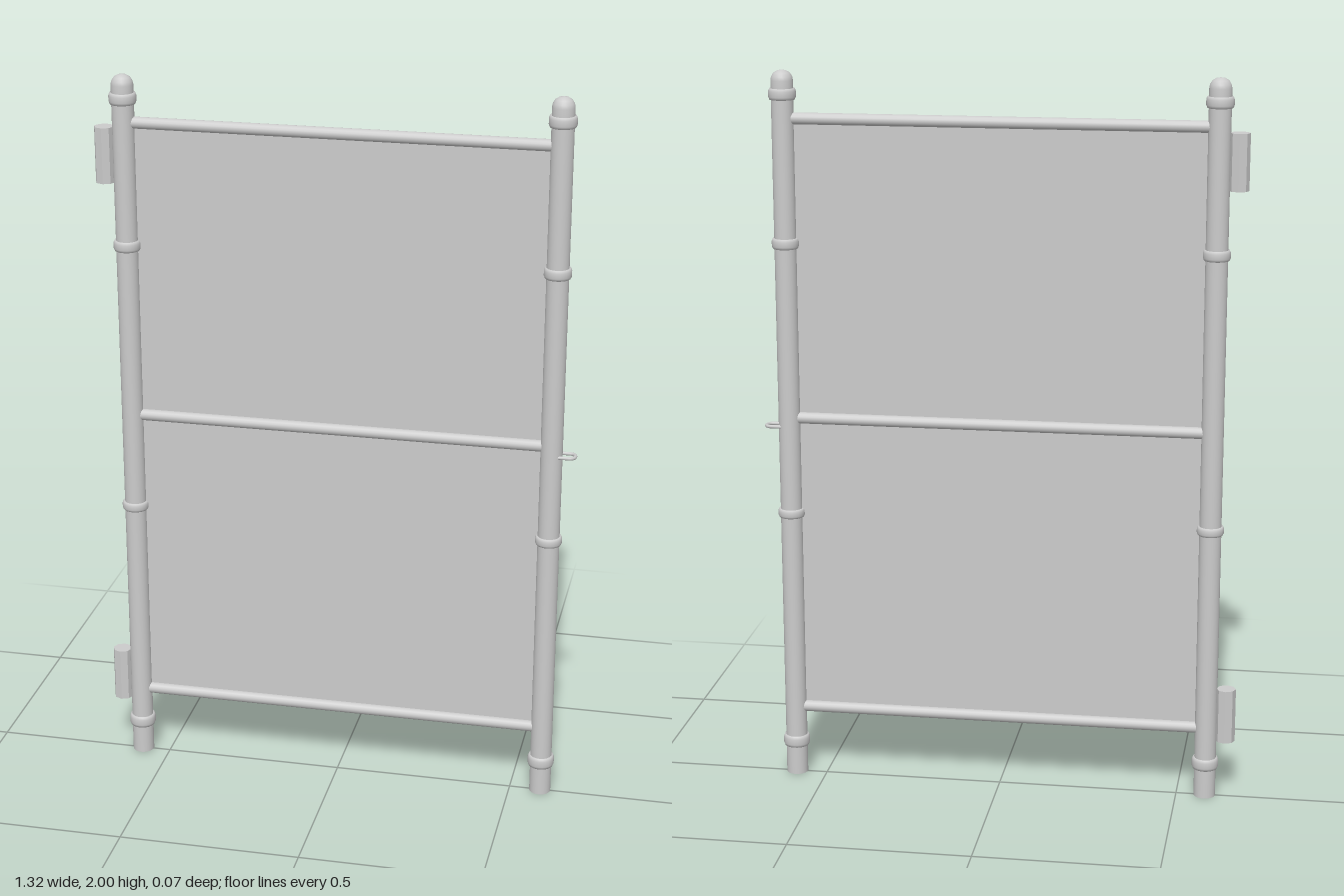
import * as THREE from 'three';

const POST_R = 0.03;
const LEFT_X = 0.586;
const RIGHT_X = -0.579;

export function createModel() {
  const group = new THREE.Group();
  const smooth = new THREE.MeshStandardMaterial({ color: 0xcccccc });
  const faceted = new THREE.MeshStandardMaterial({ color: 0xcccccc, flatShading: true });
  const sheet = new THREE.MeshStandardMaterial({ color: 0xcccccc, side: THREE.DoubleSide });

  const add = (name, geometry, material, x = 0, y = 0, z = 0, parent = group) => {
    const mesh = new THREE.Mesh(geometry, material);
    mesh.name = name;
    mesh.position.set(x, y, z);
    parent.add(mesh);
    return mesh;
  };

  // Rounded collar band around a post
  const collar = (height) => {
    const h = height / 2;
    const points = [[0.029, -h], [0.034, -h], [0.037, -h * 0.5], [0.037, h * 0.5], [0.034, h], [0.029, h]];
    return new THREE.LatheGeometry(points.map(([r, y]) => new THREE.Vector2(r, y)), 24);
  };

  // Posts with a domed cap and four collars
  const dome = [[POST_R, 0], [POST_R, 0.022], [0.028, 0.032], [0.022, 0.042], [0.012, 0.048], [0, 0.05]];
  for (const [side, x] of [['left', LEFT_X], ['right', RIGHT_X]]) {
    const post = new THREE.Group();
    post.name = `${side}Post`;
    post.position.x = x;
    group.add(post);
    add(`${side}Pole`, new THREE.CylinderGeometry(POST_R, POST_R, 1.95, 24), smooth, 0, 0.975, 0, post);
    add(`${side}Cap`, new THREE.LatheGeometry(dome.map(([r, y]) => new THREE.Vector2(r, y)), 24),
      smooth, 0, 1.95, 0, post);
    for (const [y, h] of [[0.098, 0.032], [0.774, 0.024], [1.533, 0.028], [1.936, 0.03]]) {
      add(`${side}Collar`, collar(h), smooth, 0, y, 0, post);
    }
  }

  // Horizontal rails between the posts
  const span = LEFT_X - RIGHT_X;
  const middle = (LEFT_X + RIGHT_X) / 2;
  for (const [name, y] of [['bottomRail', 0.2], ['middleRail', 1.046], ['topRail', 1.871]]) {
    add(name, new THREE.CylinderGeometry(0.016, 0.016, span - 0.04, 16), smooth, middle, y).rotation.z = Math.PI / 2;
  }

  // Thin sheet stretched over the frame
  add('panel', new THREE.PlaneGeometry(span - 0.04, 1.671), sheet, middle, 1.0355);

  // Eight-sided hinge barrels outside the right post
  for (const [name, y] of [['lowerHinge', 0.242], ['upperHinge', 1.781]]) {
    add(name, new THREE.CylinderGeometry(0.027, 0.027, 0.152, 8), faceted, -0.633, y);
  }

  // U-shaped latch loop outside the left post
  const path = new THREE.CurvePath();
  const v = (x, z) => new THREE.Vector3(x, 0, z);
  path.add(new THREE.LineCurve3(v(0, -0.018), v(0.034, -0.018)));
  path.add(new THREE.CubicBezierCurve3(v(0.034, -0.018), v(0.056, -0.018), v(0.056, 0.018), v(0.034, 0.018)));
  path.add(new THREE.LineCurve3(v(0.034, 0.018), v(0, 0.018)));
  add('latchLoop', new THREE.TubeGeometry(path, 32, 0.005, 8, false), smooth, 0.6, 1.022);

  return group;
}
